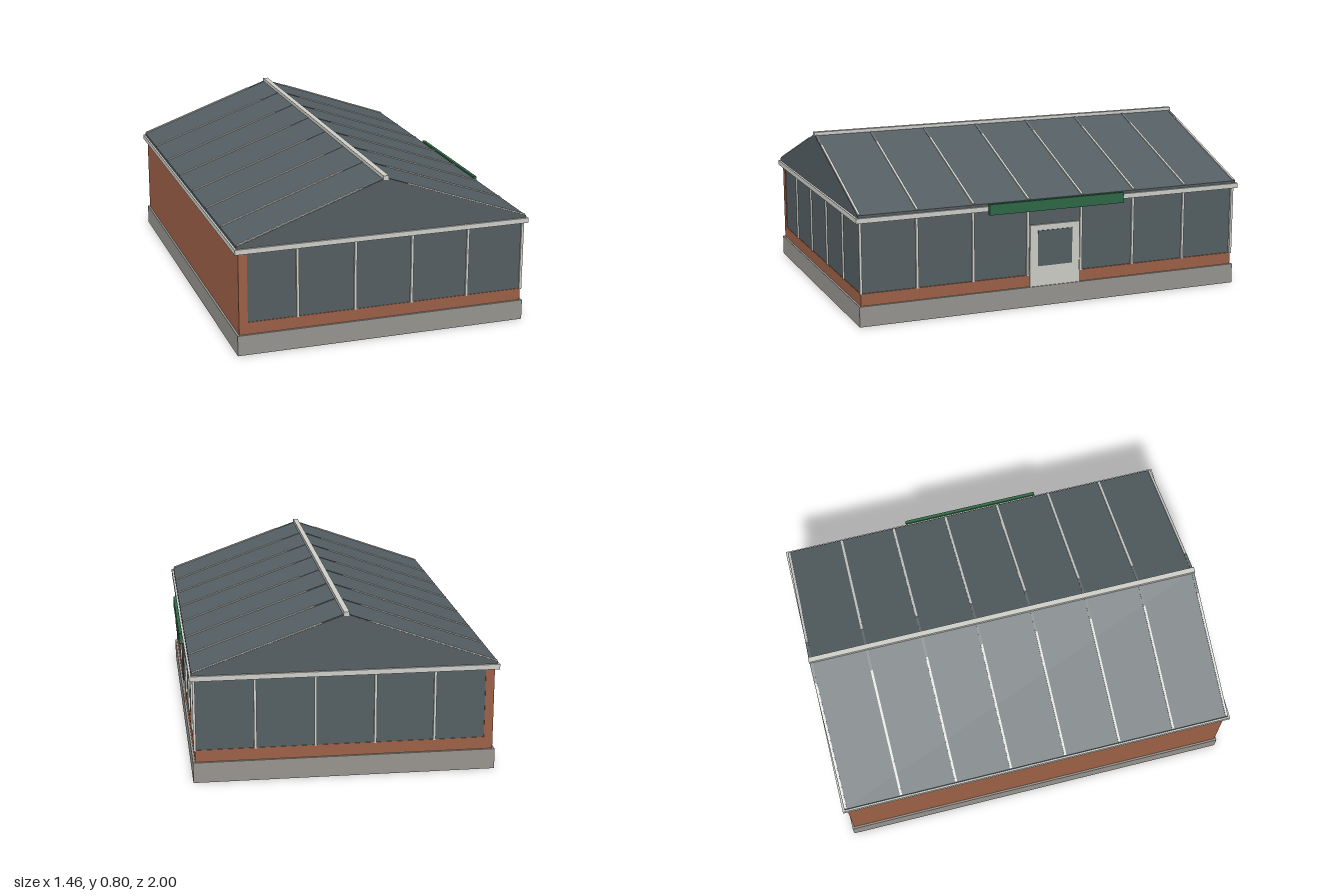
import * as THREE from 'three';

function mat(name, color) {
  const m = new THREE.MeshStandardMaterial({ color });
  m.name = name;
  return m;
}

export function createModel() {
  const model = new THREE.Group();
  model.name = 'gardenRoom';

  const concrete = mat('concrete', 0x97948f);
  const brick = mat('brick', 0x9c6046);
  const glass = mat('tintedGlass', 0x545e62);
  const frame = mat('paleFrame', 0xcdcdc8);
  const barUnderGlass = mat('frameBehindGlass', 0x6a7072);
  const green = mat('greenPaint', 0x2e6845);

  // Box given by its limits on each axis
  function box(name, material, [x0, x1], [y0, y1], [z0, z1], parent = model) {
    const mesh = new THREE.Mesh(new THREE.BoxGeometry(x1 - x0, y1 - y0, z1 - z0), material);
    mesh.position.set((x0 + x1) / 2, (y0 + y1) / 2, (z0 + z1) / 2);
    mesh.name = name;
    parent.add(mesh);
    return mesh;
  }

  // Base, low brick wall and solid side wall
  box('basePlinth', concrete, [-0.72, 0.7], [0, 0.098], [-0.987, 0.987]);
  box('dwarfWall', brick, [-0.71, 0.69], [0.098, 0.156], [-0.977, 0.977]);
  box('solidSideWall', brick, [-0.71, -0.668], [0.156, 0.496], [-0.977, 0.977]);

  // Glazed walls
  box('wallGlass', glass, [-0.668, 0.684], [0.156, 0.496], [-0.974, 0.974]);

  // Mullions on both ends and along the door side
  const posts = new THREE.Group();
  posts.name = 'mullions';
  model.add(posts);
  const h = 0.006;
  for (const z of [-0.976, 0.976]) {
    for (let i = 0; i < 5; i++) {
      const x = -0.43 + i * 0.28;
      box('endMullion', frame, [x - h, x + h], [0.154, 0.496], [z - h, z + h], posts);
    }
  }
  for (let i = 1; i < 7; i++) {
    const z = -0.98 + i * 0.28;
    box('sideMullion', frame, [0.68, 0.692], [0.154, 0.496], [z - h, z + h], posts);
  }

  // Door with its window
  box('door', frame, [0.66, 0.695], [0.098, 0.402], [-0.13, 0.13]);
  box('doorWindow', glass, [0.69, 0.698], [0.198, 0.374], [-0.09, 0.09]);

  // Eaves beam
  box('eavesBeam', frame, [-0.729, 0.71], [0.495, 0.519], [-0.998, 0.998]);

  // Glazed gable roof
  const eaveY = 0.531, ridgeY = 0.784, ridgeX = -0.01, half = 0.71;
  const profile = new THREE.Shape([
    new THREE.Vector2(ridgeX - half, 0.519),
    new THREE.Vector2(ridgeX + half, 0.519),
    new THREE.Vector2(ridgeX + half, eaveY),
    new THREE.Vector2(ridgeX, ridgeY),
    new THREE.Vector2(ridgeX - half, eaveY),
  ]);
  const roofGeo = new THREE.ExtrudeGeometry(profile, { depth: 1.976, bevelEnabled: false });
  roofGeo.translate(0, 0, -0.988);
  const roof = new THREE.Mesh(roofGeo, glass);
  roof.name = 'roofGlass';
  model.add(roof);

  // Glazing bars down both slopes, the upper part sunk behind the glass
  const bars = new THREE.Group();
  bars.name = 'roofBars';
  model.add(bars);
  function slopeBar(name, material, side, z, a, b, thick) {
    const rise = ridgeY - eaveY;
    const slope = Math.atan2(rise, half);
    const mid = (a + b) / 2;
    const bar = new THREE.Mesh(
      new THREE.BoxGeometry((b - a) / Math.cos(slope), thick, 0.011), material);
    bar.position.set(ridgeX + side * mid, ridgeY - (rise * mid) / half, z);
    bar.rotation.z = -side * slope;
    bar.name = name;
    bars.add(bar);
  }
  for (const side of [-1, 1]) {
    for (let i = 0; i < 8; i++) {
      const z = -0.98 + i * 0.28;
      slopeBar('roofBar', frame, side, z, 0.11, half - 0.004, 0.01);
      slopeBar('upperRoofBar', barUnderGlass, side, z, 0, 0.11, 0.004);
    }
  }

  // Ridge cap
  box('ridgeCap', frame, [-0.023, 0.003], [0.776, 0.796], [-0.99, 0.99]);

  // Green board above the door
  box('signBoard', green, [0.71, 0.726], [0.479, 0.531], [-0.35, 0.35]);

  return model;
}
